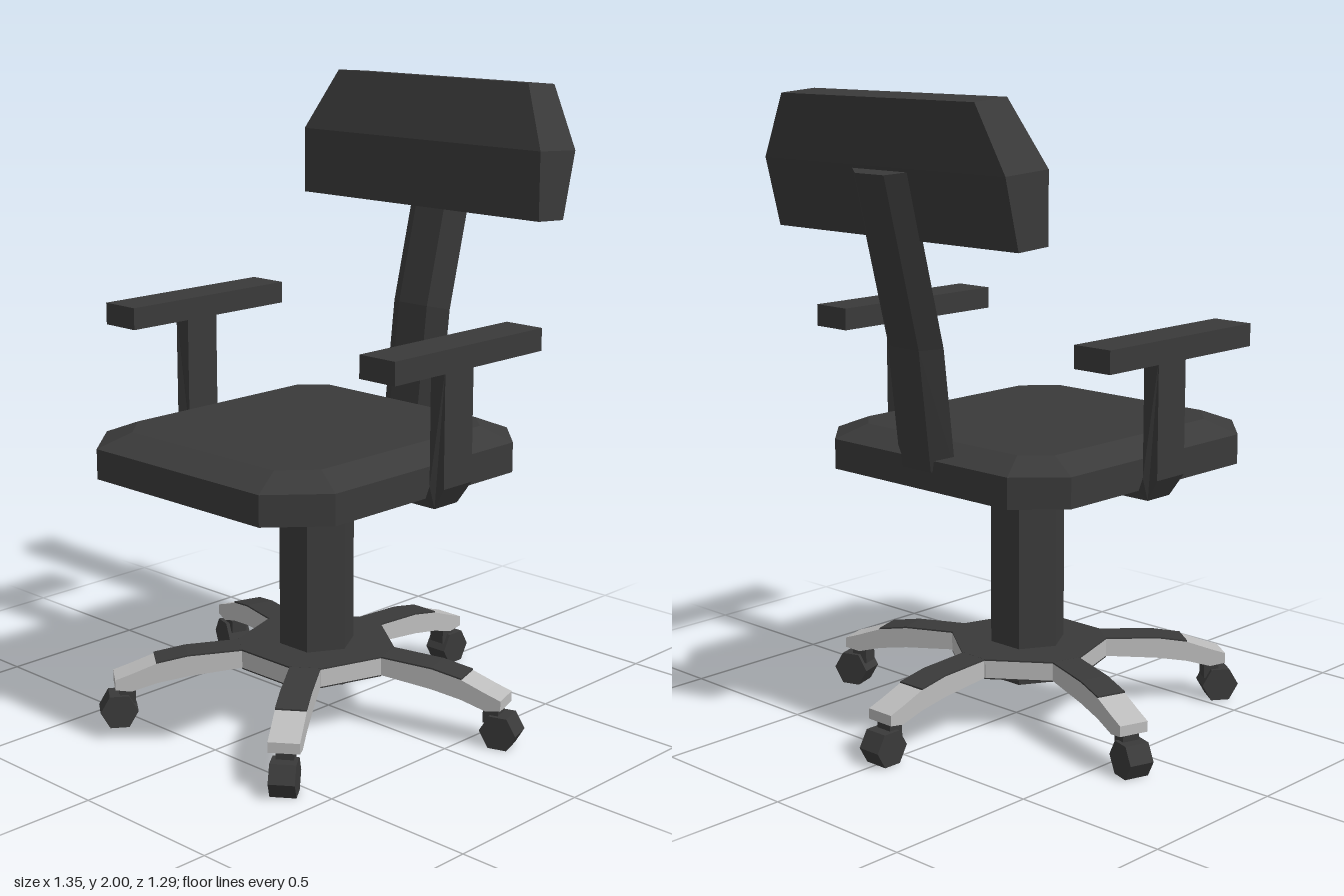
import * as THREE from 'three';

const black = new THREE.MeshStandardMaterial({ color: 0x3a3a3a });
black.name = 'charcoal';
const silver = new THREE.MeshStandardMaterial({ color: 0xbcbcbc });
silver.name = 'silver';

const AXIS_Z = 0.053; // centre of the column and base

// Give a geometry hard, faceted normals
function facet(geometry) {
  const g = geometry.index ? geometry.toNonIndexed() : geometry;
  g.computeVertexNormals();
  return g;
}

function part(parent, name, geometry, material, x = 0, y = 0, z = 0) {
  const mesh = new THREE.Mesh(facet(geometry), material);
  mesh.name = name;
  mesh.position.set(x, y, z);
  parent.add(mesh);
  return mesh;
}

// Join matching rings of [x, y, z] points into a closed solid, facing outwards
function loft(rings) {
  const n = rings[0].length;
  const tris = [];
  for (let r = 0; r < rings.length - 1; r++) {
    for (let i = 0; i < n; i++) {
      const j = (i + 1) % n;
      const [a, b, c, d] = [rings[r][i], rings[r][j], rings[r + 1][j], rings[r + 1][i]];
      tris.push([a, b, c], [a, c, d]);
    }
  }
  const first = rings[0], last = rings[rings.length - 1];
  for (let i = 1; i < n - 1; i++) {
    tris.push([first[0], first[i + 1], first[i]], [last[0], last[i], last[i + 1]]);
  }
  let volume = 0;
  for (const [a, b, c] of tris) {
    volume += new THREE.Vector3(...a).dot(new THREE.Vector3(...b).cross(new THREE.Vector3(...c)));
  }
  if (volume < 0) tris.forEach((t) => t.reverse());
  const g = new THREE.BufferGeometry();
  g.setAttribute('position', new THREE.Float32BufferAttribute(tris.flat(2), 3));
  return g;
}

// Upright six-sided column with corners on the x axis
function hexColumn(radius, y0, y1) {
  return new THREE.CylinderGeometry(radius, radius, y1 - y0, 6)
    .rotateY(Math.PI / 2).translate(0, (y0 + y1) / 2, 0);
}

function buildBase() {
  const base = new THREE.Group();
  base.name = 'base';
  base.position.z = AXIS_Z;

  // Ten-sided hub: wide sides between the legs, narrow sides under them
  const outline = [];
  for (let k = 0; k < 5; k++) {
    for (const offset of [-24.5, 24.5]) {
      const a = THREE.MathUtils.degToRad(72 * k + offset);
      outline.push([Math.sin(a) * 0.253, Math.cos(a) * 0.253]);
    }
  }
  const slab = (y0, y1) => loft([y0, y1].map((y) => outline.map(([x, z]) => [x, y, z])));
  part(base, 'hub', slab(0.18, 0.236), silver);
  part(base, 'hubTop', slab(0.236, 0.241), black);
  part(base, 'hubUnderside', slab(0.176, 0.18), black);

  // Leg sections: distance from the hub, underside height, top height
  const sections = [
    [0.24, 0.18, 0.236], [0.42, 0.162, 0.228], [0.52, 0.145, 0.21],
    [0.6, 0.122, 0.18], [0.65, 0.13, 0.163],
  ];
  const band = (list, w) => loft(list.map(([r, lo, hi]) =>
    [[-w, lo, r], [w, lo, r], [w, hi, r], [-w, hi, r]]));

  for (let k = 0; k < 5; k++) {
    const leg = new THREE.Group();
    leg.name = 'leg';
    leg.rotation.y = THREE.MathUtils.degToRad(36 + 72 * k);
    part(leg, 'legArm', band(sections, 0.048), silver);
    const tread = sections.slice(0, 3).map(([r, , hi]) => [r, hi, hi + 0.005]);
    part(leg, 'legTopPlate', band(tread, 0.048), black);
    part(leg, 'casterStem', new THREE.BoxGeometry(0.055, 0.07, 0.05), black, 0, 0.11, 0.61);
    const wheel = new THREE.CylinderGeometry(0.06, 0.06, 0.08, 6).rotateZ(Math.PI / 2);
    part(leg, 'casterWheel', wheel, black, 0, 0.052, 0.638);
    base.add(leg);
  }
  part(base, 'column', hexColumn(0.122, 0.122, 0.8), black);
  part(base, 'seatCollar', hexColumn(0.2, 0.76, 0.826), black);
  return base;
}

function buildSeat() {
  // Cut-corner outline at a given height
  const ring = (y, x, front, frontX, frontZ, back, backX, backZ) => [
    [x, y, frontZ], [x, y, backZ], [backX, y, back], [-backX, y, back],
    [-x, y, backZ], [-x, y, frontZ], [-frontX, y, front], [frontX, y, front],
  ];
  return loft([
    ring(0.825, 0.5, 0.645, 0.355, 0.485, -0.43, 0.37, -0.3),
    ring(0.92, 0.5, 0.645, 0.355, 0.485, -0.43, 0.37, -0.3),
    ring(0.962, 0.4, 0.54, 0.31, 0.44, -0.335, 0.32, -0.26),
  ]);
}

function buildArm(side) {
  const arm = new THREE.Group();
  arm.name = side > 0 ? 'leftArm' : 'rightArm';
  // Bent bracket from under the seat up to the pad
  const profile = [
    [0.28, 0.8], [0.535, 0.8], [0.58, 0.87], [0.58, 1.235],
    [0.525, 1.235], [0.525, 0.87], [0.5, 0.826], [0.28, 0.826],
  ].map(([x, y]) => new THREE.Vector2(side * x, y));
  const bracket = new THREE.ExtrudeGeometry(new THREE.Shape(profile), { depth: 0.125, bevelEnabled: false });
  // The lower part of the bracket is slightly narrower
  const p = bracket.attributes.position;
  for (let i = 0; i < p.count; i++) {
    if (p.getY(i) < 0.85) p.setZ(i, p.getZ(i) > 0.06 ? 0.113 : 0.012);
  }
  part(arm, 'armBracket', bracket, black, 0, 0, -0.01);
  part(arm, 'armPad', new THREE.BoxGeometry(0.135, 0.07, 0.65), black, side * 0.553, 1.265, 0.05);
  return arm;
}

function buildBack(group) {
  // Bent spine with a flattened six-sided section: [y, z, tilt]
  const spine = [[0.89, -0.39, 0.006], [1.265, -0.435, 0.009], [1.785, -0.565, 0.01]];
  part(group, 'backSpine', loft(spine.map(([y, z, t]) => [
    [0.12, y, z], [0.06, y + t, z + 0.043], [-0.06, y + t, z + 0.043],
    [-0.12, y, z], [-0.06, y - t, z - 0.043], [0.06, y - t, z - 0.043],
  ])), black);

  // Backrest: [half width, front y, front z, back y, back z]
  const rows = [
    [0.5, 1.592, -0.4, 1.585, -0.52],
    [0.5, 1.805, -0.4, 1.795, -0.572],
    [0.4, 2.0, -0.46, 1.99, -0.588],
  ];
  part(group, 'backrest', loft(rows.map(([w, fy, fz, by, bz]) =>
    [[w, fy, fz], [-w, fy, fz], [-w, by, bz], [w, by, bz]])), black);
}

export function createModel() {
  const chair = new THREE.Group();
  chair.name = 'officeChair';
  chair.add(buildBase());
  part(chair, 'seat', buildSeat(), black);
  chair.add(buildArm(1), buildArm(-1));
  buildBack(chair);
  return chair;
}
